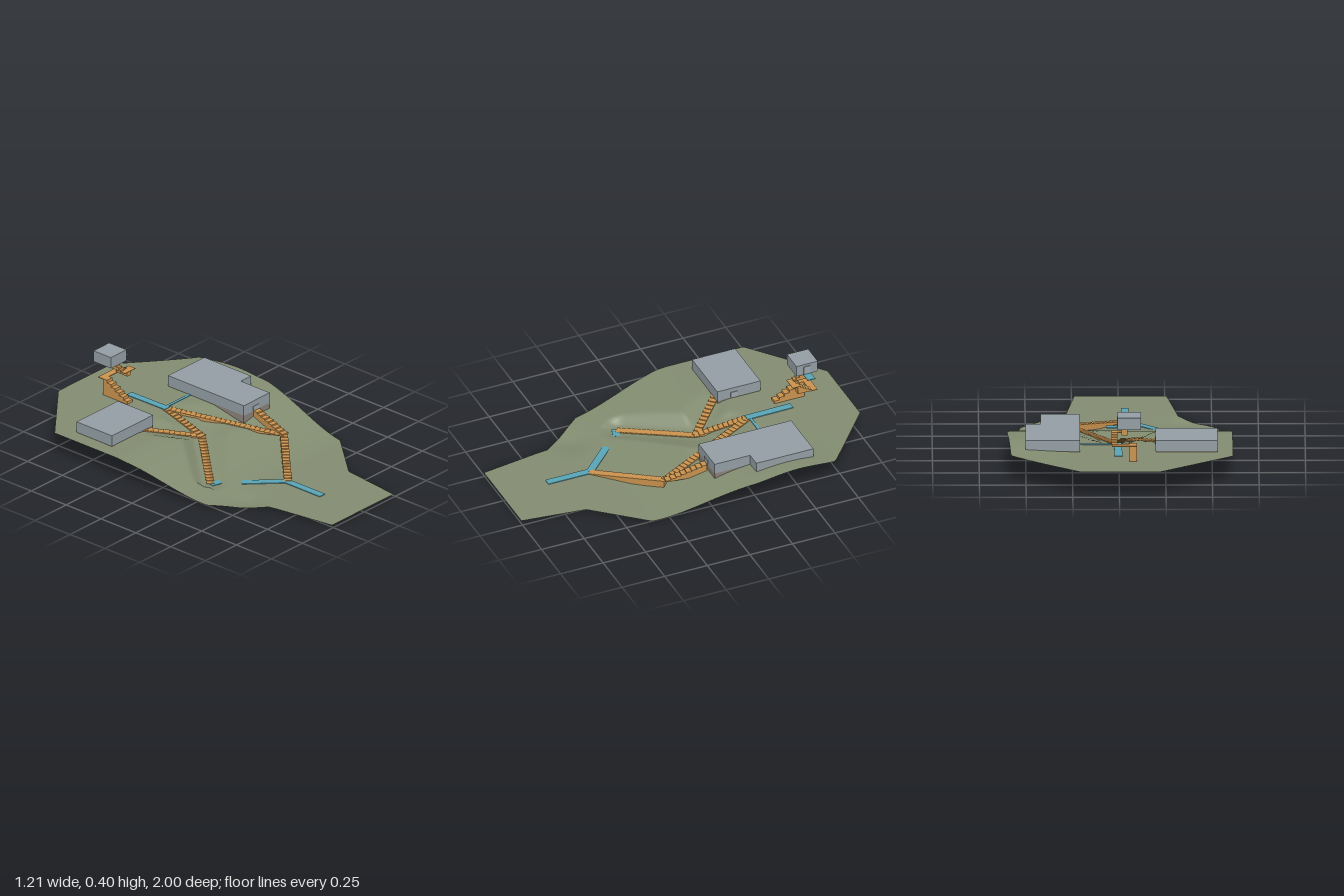
import * as THREE from 'three';

const mat = (name, color, side = THREE.FrontSide) => {
  const m = new THREE.MeshStandardMaterial({ color, side });
  m.name = name;
  return m;
};

// Outline of the ground as [z, x] on each side
const LEFT = [[-1, 0.21], [-0.69, 0.58], [-0.22, 0.6], [0.36, 0.525], [0.64, 0.28], [1, 0.235]];
const RIGHT = [[-1, -0.22], [-0.68, -0.61], [-0.17, -0.61], [0.34, -0.53], [0.6, -0.32], [1, -0.26]];

// Flights of steps: start x, y, z, end x, y, z, and steepness of the bank on either side
const FLIGHTS = [
  [-0.33, 0.025, 0.19, -0.03, 0.09, -0.14, 0.25, 0.9],
  [-0.03, 0.09, -0.13, 0.005, 0.147, -0.43, 0.25, 0.4],
  [-0.03, 0.09, -0.14, -0.26, 0.145, -0.36, 0.4, 0.4],
  [-0.03, 0.025, 0.48, 0.28, 0.086, 0.175, 0.3, 0.3],
  [0.28, 0.086, 0.18, 0.01, 0.147, -0.43, 0.3, 0.3],
  [0.285, 0.086, 0.18, 0.31, 0.15, -0.05, 0.3, 0.3],
];

const along = (pts, z) => {
  for (let i = 1; i < pts.length; i++) {
    const [z0, x0] = pts[i - 1], [z1, x1] = pts[i];
    if (z <= z1) return x0 + (x1 - x0) * (z - z0) / (z1 - z0);
  }
  return pts[pts.length - 1][1];
};

const bump = (x, z, cx, cz, r) => Math.exp(-((x - cx) ** 2 + (z - cz) ** 2) / (r * r));

// Sloping hillside, cut down beside every flight
function groundHeight(x, z) {
  let h = 0.022 + 0.123 * (1 - THREE.MathUtils.smoothstep(z, -0.25, 0.38));
  h += 0.026 * bump(x, z, 0.56, -0.45, 0.2);
  for (const [x0, y0, z0, x1, y1, z1, bankA, bankB] of FLIGHTS) {
    const dx = x1 - x0, dz = z1 - z0;
    const t = THREE.MathUtils.clamp(((x - x0) * dx + (z - z0) * dz) / (dx * dx + dz * dz), 0, 1);
    const d = Math.hypot(x - x0 - t * dx, z - z0 - t * dz);
    const bank = dx * (z - z0) - dz * (x - x0) > 0 ? bankA : bankB;
    h = Math.min(h, y0 + (y1 - y0) * t - 0.003 + Math.max(0, d - 0.045) * bank);
  }
  return Math.max(h, 0.022) - 0.018 * bump(x, z, -0.35, 0.46, 0.1);
}

function groundGeometry(cols = 60, rows = 100) {
  const pos = [], index = [];
  for (let j = 0; j <= rows; j++) {
    const z = -1 + 2 * j / rows, a = along(RIGHT, z), b = along(LEFT, z);
    for (let i = 0; i <= cols; i++) {
      const x = a + (b - a) * i / cols;
      pos.push(x, groundHeight(x, z), z);
      if (i < cols && j < rows) {
        const p = j * (cols + 1) + i, q = p + cols + 1;
        index.push(p, q, p + 1, p + 1, q, q + 1);
      }
    }
  }
  const g = new THREE.BufferGeometry();
  g.setAttribute('position', new THREE.Float32BufferAttribute(pos, 3));
  g.setIndex(index);
  g.computeVertexNormals();
  return g;
}

export function createModel() {
  const root = new THREE.Group();
  const grass = mat('grass', 0x828c70, THREE.DoubleSide);
  const wood = mat('wood', 0xc8924e);
  const path = mat('bluePath', 0x58a3b5);
  const wall = mat('greyWall', 0x929da3);
  const base = mat('foundation', 0x888079);
  const doorMat = mat('door', 0x9da6aa);

  const add = (name, geo, material, parent = root) => {
    const m = new THREE.Mesh(geo, material);
    m.name = name;
    parent.add(m);
    return m;
  };
  // Box given by its extents
  const box = (name, material, x0, x1, y0, y1, z0, z1, parent) =>
    add(name, new THREE.BoxGeometry(x1 - x0, y1 - y0, z1 - z0), material, parent)
      .position.set((x0 + x1) / 2, (y0 + y1) / 2, (z0 + z1) / 2);

  // Solid wedge with a stepped top
  const flight = (name, x0, y0, z0, x1, y1, z1, w, parent) => {
    const len = Math.hypot(x1 - x0, z1 - z0), n = Math.max(5, Math.round(len / 0.028));
    const s = new THREE.Shape();
    s.moveTo(0, 0);
    for (let i = 0; i < n; i++) {
      const y = (y1 - y0) * (i + 1) / n;
      s.lineTo(len * i / n, y);
      s.lineTo(len * (i + 1) / n, y);
    }
    s.lineTo(len, 0);
    const g = new THREE.ExtrudeGeometry(s, { depth: w, bevelEnabled: false });
    g.translate(0, 0, -w / 2);
    const m = add(name, g, wood, parent);
    m.position.set(x0, y0, z0);
    m.rotation.y = -Math.atan2(z1 - z0, x1 - x0);
  };

  // Flat strip of path
  const strip = (x0, z0, x1, z1, y, w) => {
    const m = add('pathStrip', new THREE.BoxGeometry(Math.hypot(x1 - x0, z1 - z0), 0.004, w), path);
    m.position.set((x0 + x1) / 2, y, (z0 + z1) / 2);
    m.rotation.y = -Math.atan2(z1 - z0, x1 - x0);
  };

  add('ground', groundGeometry(), grass);

  FLIGHTS.forEach((f) => flight('hillSteps', ...f.slice(0, 6), 0.042));

  strip(-0.035, 0.73, -0.035, 0.475, 0.026, 0.042);
  strip(-0.03, 0.48, -0.205, 0.305, 0.0265, 0.042);
  strip(-0.335, 0.195, -0.275, 0.215, 0.026, 0.04);
  strip(0.007, -0.42, 0.003, -0.69, 0.148, 0.042);
  strip(0.02, -0.44, 0.21, -0.44, 0.1475, 0.016);

  // Rectangular hall
  const hall = new THREE.Group();
  hall.name = 'rectangularHall';
  root.add(hall);
  box('hallWalls', wall, -0.528, -0.195, 0.15, 0.21, -0.595, -0.342, hall);
  box('hallFoundation', base, -0.526, -0.197, 0.124, 0.15, -0.593, -0.344, hall);
  box('hallDoor', doorMat, -0.196, -0.192, 0.152, 0.185, -0.46, -0.42, hall);

  // L-shaped hall on a hollow foundation
  const lHall = new THREE.Group();
  lHall.name = 'cornerHall';
  root.add(lHall);
  const lShape = (e) => [[0.21 + e, -0.595 + e], [0.502 - e, -0.595 + e], [0.502 - e, -0.26 - e],
    [0.42 - e, -0.26 - e], [0.42 - e, -0.052 - e], [0.21 + e, -0.052 - e]]
    .map(([x, z]) => new THREE.Vector2(x, -z));
  const slab = (name, shape, y0, y1, material) => {
    const g = new THREE.ExtrudeGeometry(shape, { depth: y1 - y0, bevelEnabled: false });
    g.rotateX(-Math.PI / 2);
    add(name, g, material, lHall).position.y = y0;
  };
  slab('cornerHallWalls', new THREE.Shape(lShape(0)), 0.15, 0.21, wall);
  const ring = new THREE.Shape(lShape(0.001));
  ring.holes.push(new THREE.Path(lShape(0.006)));
  slab('cornerHallFoundation', ring, 0.105, 0.15, base);
  box('cornerHallDoor', doorMat, 0.285, 0.33, 0.151, 0.178, -0.053, -0.049, lHall);

  // Lookout reached by three short flights
  const lookout = new THREE.Group();
  lookout.name = 'lookout';
  root.add(lookout);
  box('cabin', wall, -0.116, 0.01, 0.335, 0.4, -0.84, -0.715, lookout);
  box('cabinDoor', doorMat, 0.009, 0.013, 0.337, 0.386, -0.797, -0.757, lookout);
  flight('lowerSteps', -0.075, 0.145, -0.615, -0.075, 0.241, -0.79, 0.042, lookout);
  box('lowerLanding', wood, -0.096, 0.04, 0.237, 0.241, -0.825, -0.785, lookout);
  flight('middleSteps', 0.025, 0.241, -0.79, 0.025, 0.289, -0.71, 0.032, lookout);
  box('upperLanding', wood, -0.043, 0.041, 0.285, 0.289, -0.715, -0.68, lookout);
  flight('upperSteps', -0.028, 0.289, -0.71, -0.028, 0.335, -0.79, 0.03, lookout);
  box('balcony', path, -0.005, 0.07, 0.333, 0.337, -0.8, -0.755, lookout);

  return root;
}
